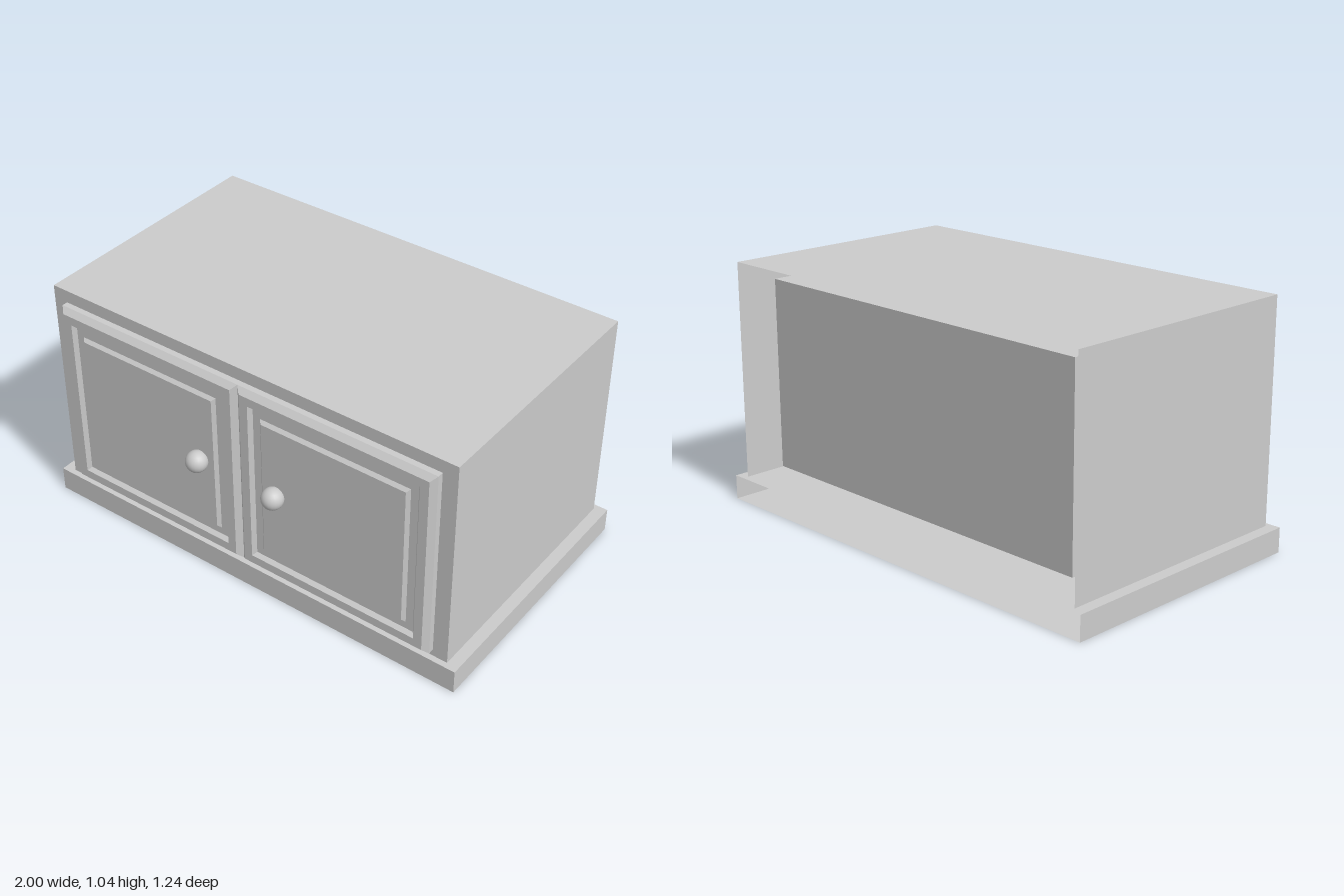
import * as THREE from 'three';

const material = new THREE.MeshStandardMaterial({ color: 0xcccccc, side: THREE.DoubleSide, flatShading: true });
const knobMaterial = new THREE.MeshStandardMaterial({ color: 0xcccccc });

const FRONT = 0.51; // z of the cabinet face
const OPENING = { x: 0.84, y0: 0.155, y1: 0.97, back: -0.49 };

function addMesh(parent, name, geometry, mat = material) {
  const mesh = new THREE.Mesh(geometry, mat);
  mesh.name = name;
  parent.add(mesh);
  return mesh;
}

// Box between two corners with some faces left out (0..5 = +x, -x, +y, -y, +z, -z)
function openBox([x0, y0, z0], [x1, y1, z1], missing) {
  const g = new THREE.BoxGeometry(x1 - x0, y1 - y0, z1 - z0);
  g.translate((x0 + x1) / 2, (y0 + y1) / 2, (z0 + z1) / 2);
  g.setIndex(Array.from(g.index.array).filter((_, i) => !missing.includes(Math.floor(i / 6))));
  g.clearGroups();
  return g;
}

// Rectangle outline, counter-clockwise
function rectangle(path, x0, y0, x1, y1) {
  path.moveTo(x0, y0);
  path.lineTo(x1, y0);
  path.lineTo(x1, y1);
  path.lineTo(x0, y1);
  path.closePath();
  return path;
}

// Moulded panel: nested rectangles, each given as [inset, z], closed front and back
function mouldedPanel(x0, y0, x1, y1, profile) {
  const positions = [];
  const index = [];
  profile.forEach(([inset, z]) => {
    positions.push(x0 + inset, y0 + inset, z, x1 - inset, y0 + inset, z);
    positions.push(x1 - inset, y1 - inset, z, x0 + inset, y1 - inset, z);
  });
  for (let r = 0; r < profile.length - 1; r++) {
    for (let i = 0; i < 4; i++) {
      const a = r * 4 + i;
      const b = r * 4 + ((i + 1) % 4);
      index.push(a, b, b + 4, a, b + 4, a + 4);
    }
  }
  const f = (profile.length - 1) * 4;
  index.push(f, f + 1, f + 2, f, f + 2, f + 3, 0, 2, 1, 0, 3, 2);
  const g = new THREE.BufferGeometry();
  g.setAttribute('position', new THREE.Float32BufferAttribute(positions, 3));
  g.setIndex(index);
  const flat = g.toNonIndexed();
  flat.computeVertexNormals();
  return flat;
}

export function createModel() {
  const cabinet = new THREE.Group();
  cabinet.name = 'cabinet';

  // Plinth, open at the back
  addMesh(cabinet, 'plinth', openBox([-1, 0, -0.62], [1, 0.105, 0.535], [5]));

  // Outer shell: two sides and top
  addMesh(cabinet, 'shell', openBox([-0.95, 0.105, -0.595], [0.95, 1.04, FRONT], [3, 4, 5]));

  // Face frame around the door opening
  const frame = rectangle(new THREE.Shape(), -0.95, 0.105, 0.95, 1.04);
  frame.holes.push(rectangle(new THREE.Path(), -OPENING.x, OPENING.y0, OPENING.x, OPENING.y1));
  addMesh(cabinet, 'faceFrame', new THREE.ShapeGeometry(frame).translate(0, 0, FRONT));

  // Inner compartment, open towards the doors
  addMesh(cabinet, 'compartment',
    openBox([-OPENING.x, OPENING.y0, OPENING.back], [OPENING.x, OPENING.y1, FRONT], [4]));

  // Doors: chamfered edge, flat frame, sunk groove, raised centre panel
  const profile = [
    [0, FRONT], [0, 0.535], [0.022, 0.557], [0.06, 0.557],
    [0.073, 0.54], [0.106, 0.54], [0.119, 0.553],
  ];
  for (const side of [-1, 1]) {
    const door = new THREE.Group();
    door.name = side > 0 ? 'leftDoor' : 'rightDoor';
    const [x0, x1] = side > 0 ? [0, 0.885] : [-0.885, 0];
    addMesh(door, 'doorPanel', mouldedPanel(x0, 0.135, x1, 0.985, profile));
    addMesh(door, 'knob', new THREE.SphereGeometry(0.046, 20, 14), knobMaterial)
      .position.set(side * 0.186, 0.563, 0.577);
    cabinet.add(door);
  }

  return cabinet;
}
